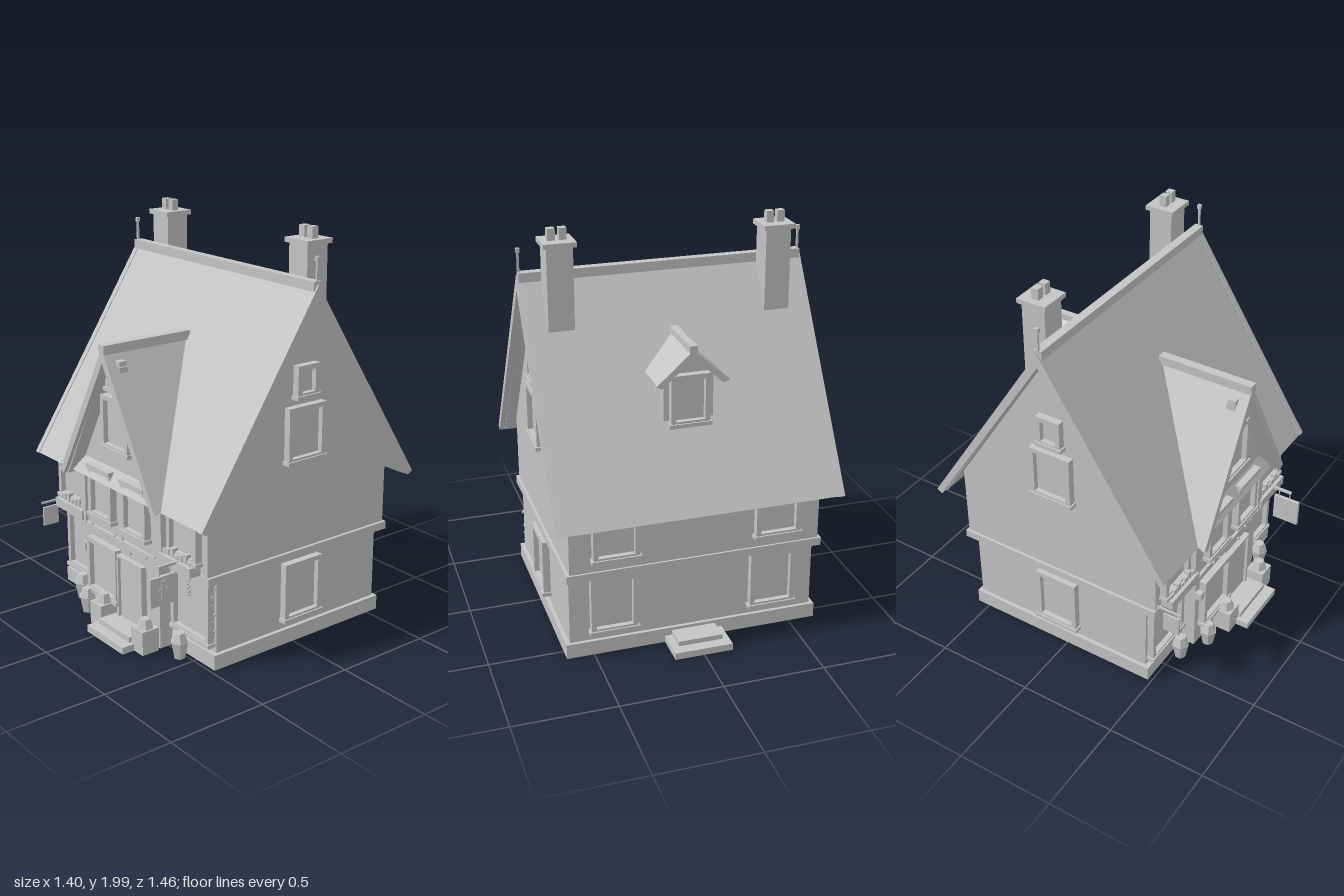
import * as THREE from 'three';

const stone = new THREE.MeshStandardMaterial({ color: 0xc4c4c4 });
stone.name = 'plain grey';

export function createModel() {
  const house = new THREE.Group();
  house.name = 'house';

  const add = (name, geo, parent = house) => {
    const m = new THREE.Mesh(geo, stone);
    m.name = name;
    parent.add(m);
    return m;
  };
  // Box from its extents on each axis
  const box = (name, x0, x1, y0, y1, z0, z1, parent = house) => {
    const m = add(name, new THREE.BoxGeometry(x1 - x0, y1 - y0, z1 - z0), parent);
    m.position.set((x0 + x1) / 2, (y0 + y1) / 2, (z0 + z1) / 2);
    return m;
  };
  const prism = (pts, a, b) => {
    const shape = new THREE.Shape(pts.map(p => new THREE.Vector2(p[0], p[1])));
    return new THREE.ExtrudeGeometry(shape, { depth: b - a, bevelEnabled: false }).translate(0, 0, a);
  };
  // Profile in (z, y) drawn out along x
  const prismX = (pts, a, b) => prism(pts, -b, -a).rotateY(-Math.PI / 2);
  // Inverted V section of a pitched roof
  const chevron = (c, half, eave, apex, t) => [
    [c - half, eave], [c - half + 0.03, eave - 0.015], [c, apex - t],
    [c + half - 0.03, eave - 0.015], [c + half, eave], [c, apex],
  ];

  // Window or door frame; origin at its centre on the wall, facing local +z
  const makeWindow = (name, x, y, z, w, h, rot = 0, sill = true) => {
    const g = new THREE.Group();
    g.name = name;
    const a = w / 2, b = h / 2, f = 0.024, d = 0.036;
    box('leftJamb', -a, -a + f, -b, b, -0.01, d, g);
    box('rightJamb', a - f, a, -b, b, -0.01, d, g);
    box('lintel', -a + f, a - f, b - f, b, -0.01, d, g);
    box('bottomRail', -a + f, a - f, -b, -b + f, -0.01, d, g);
    box('pane', -a + f, a - f, -b + f, b - f, -0.01, 0.01, g);
    if (sill) box('sill', -a - 0.008, a + 0.008, -b - 0.005, -b + 0.014, -0.01, d + 0.008, g);
    g.position.set(x, y, z);
    g.rotation.y = rot;
    house.add(g);
  };

  // Walls
  box('plinth', -0.635, 0.635, 0.01, 0.085, -0.567, 0.48);
  box('groundFloor', -0.615, 0.615, 0.085, 0.45, -0.55, 0.455);
  box('floorBand', -0.635, 0.635, 0.44, 0.48, -0.61, 0.515);
  add('upperWalls', prismX([[-0.6, 0.47], [0.51, 0.47], [0.51, 0.846], [-0.055, 1.73], [-0.6, 0.877]], -0.62, 0.62));
  box('groundBay', -0.305, 0.305, 0.01, 0.46, 0.4, 0.55);
  box('upperBay', -0.335, 0.335, 0.46, 0.78, 0.4, 0.55);
  box('bayBand', -0.345, 0.345, 0.445, 0.475, 0.4, 0.565);
  add('frontGableWall', prism([[-0.375, 0.745], [0.375, 0.745], [0, 1.4]], 0.45, 0.55));

  // Main roof with raised bargeboards and ridge
  add('mainRoof', prismX(chevron(-0.055, 0.655, 0.745, 1.76, 0.06), -0.67, 0.67));
  for (const s of [-1, 1]) {
    const ends = [s * 0.67, s * 0.7].sort((p, q) => p - q);
    add('bargeboard', prismX(chevron(-0.055, 0.66, 0.745, 1.766, 0.072), ...ends));
    // Ridge finial
    box('finialRod', s * 0.688 - 0.005, s * 0.688 + 0.005, 1.75, 1.88, -0.058, -0.048);
    box('finialTip', s * 0.688 - 0.009, s * 0.688 + 0.009, 1.872, 1.893, -0.062, -0.044);
    // Chimney
    const cx = s * 0.527;
    box('chimneyShaft', cx - 0.062, cx + 0.062, 1.4, 1.925, -0.205, -0.083);
    box('chimneyCap', cx - 0.078, cx + 0.078, 1.922, 1.945, -0.22, -0.068);
    for (const o of [-0.027, 0.027])
      box('chimneyPot', cx + o - 0.018, cx + o + 0.018, 1.94, 2, -0.162, -0.126);
  }
  box('ridgeCap', -0.692, 0.692, 1.735, 1.78, -0.077, -0.033);

  // Front gable roof
  add('frontGableRoof', prism(chevron(0, 0.39, 0.745, 1.44, 0.06), 0.12, 0.62));
  add('frontBargeboard', prism(chevron(0, 0.4, 0.745, 1.447, 0.075), 0.62, 0.642));
  box('frontGableRidge', -0.022, 0.022, 1.415, 1.46, 0.15, 0.645);
  box('gableTieBeam', -0.068, 0.068, 1.36, 1.385, 0.55, 0.59);

  // Back dormer
  add('dormerWall', prism([[-0.12, 1.05], [0.12, 1.05], [0.12, 1.36], [0, 1.46], [-0.12, 1.36]], -0.46, -0.2));
  add('dormerRoof', prism(chevron(0, 0.17, 1.335, 1.487, 0.03), -0.515, -0.22));
  add('dormerBargeboard', prism(chevron(0, 0.177, 1.332, 1.49, 0.036), -0.527, -0.51));
  box('dormerRidge', -0.018, 0.018, 1.478, 1.51, -0.528, -0.23);
  makeWindow('dormerWindow', 0, 1.235, -0.46, 0.19, 0.25, Math.PI);

  // Front windows and door
  makeWindow('gableWindow', 0, 1.06, 0.55, 0.22, 0.265);
  makeWindow('atticWindow', 0, 1.29, 0.55, 0.125, 0.13);
  for (const s of [-1, 1]) {
    makeWindow('bayUpperWindow', s * 0.142, 0.67, 0.55, 0.196, 0.26);
    box('bayWindowHead', s * 0.142 - 0.098, s * 0.142 + 0.098, 0.79, 0.81, 0.54, 0.596);
    makeWindow('sideUpperWindow', s * 0.467, 0.67, 0.51, 0.225, 0.28);
    makeWindow('shopWindow', s * 0.455, 0.275, 0.455, 0.29, 0.315);
    box('bayPost', s * 0.32 - 0.02, s * 0.32 + 0.02, 0.475, 0.75, 0.5, 0.565);
    // Window box with flowers
    const wx = s * 0.445;
    box('windowBox', wx - 0.125, wx + 0.125, 0.477, 0.525, 0.51, 0.575);
    for (let i = 0; i < 7; i++) {
      const fx = wx - 0.1 + i * 0.033, t = 0.545 + (i % 3) * 0.012;
      box('flower', fx - 0.013, fx + 0.013, 0.52, t, 0.53, 0.558);
    }
  }
  makeWindow('bayGroundWindow', -0.14, 0.27, 0.55, 0.255, 0.285);
  box('door', 0, 0.185, 0.06, 0.385, 0.54, 0.565);
  for (const x of [-0.012, 0.185]) box('doorJamb', x, x + 0.012, 0.06, 0.397, 0.54, 0.58);
  box('doorHead', 0, 0.185, 0.385, 0.397, 0.54, 0.58);
  box('lantern', -0.31, -0.28, 0.33, 0.37, 0.55, 0.585);

  // Side and back windows
  for (const s of [-1, 1]) {
    const r = s * Math.PI / 2;
    makeWindow('sideGroundWindow', s * 0.615, 0.28, -0.05, 0.23, 0.295, r);
    makeWindow('sideGableWindow', s * 0.62, 1.065, -0.05, 0.225, 0.27, r);
    makeWindow('sideAtticWindow', s * 0.62, 1.315, -0.05, 0.13, 0.155, r);
    makeWindow('backGroundWindow', s * 0.4, 0.28, -0.55, 0.23, 0.295, Math.PI);
    makeWindow('backUpperWindow', s * 0.4, 0.685, -0.6, 0.225, 0.29, Math.PI);
  }

  // Steps
  box('frontLowerStep', -0.062, 0.244, 0.01, 0.045, 0.5, 0.727);
  box('frontUpperStep', -0.04, 0.22, 0.045, 0.072, 0.5, 0.672);
  box('backLowerStep', -0.145, 0.145, 0.01, 0.045, -0.73, -0.55);
  box('backUpperStep', -0.11, 0.11, 0.045, 0.07, -0.675, -0.55);

  // Planters beside the door and tapered pots along the front
  const bush = (x, y, z) => {
    const b = add('bush', new THREE.CylinderGeometry(0.026, 0.043, 0.045, 6).toNonIndexed());
    b.geometry.computeVertexNormals();
    b.position.set(x, y, z);
  };
  for (const x of [-0.087, 0.268]) {
    box('planter', x - 0.047, x + 0.047, 0.01, 0.13, 0.565, 0.66);
    bush(x, 0.152, 0.612);
  }
  for (const x of [-0.405, -0.25, 0.43]) {
    const z = x === -0.25 ? 0.6 : 0.53;
    const pot = add('pot', new THREE.CylinderGeometry(0.045, 0.028, 0.085, 6).toNonIndexed());
    pot.geometry.computeVertexNormals();
    pot.position.set(x, 0.053, z);
    bush(x, 0.117, z);
  }

  // Hanging sign with a raised cross
  box('signArm', 0.459, 0.471, 0.515, 0.528, 0.5, 0.675);
  for (const z of [0.605, 0.665]) box('signHanger', 0.463, 0.467, 0.47, 0.52, z, z + 0.005);
  box('signBoard', 0.456, 0.474, 0.335, 0.477, 0.583, 0.722);
  box('signCrossUpright', 0.452, 0.478, 0.365, 0.458, 0.643, 0.661);
  box('signCrossBar', 0.452, 0.478, 0.402, 0.42, 0.626, 0.678);
  // Smaller sign at the other end
  box('smallSignArm', -0.606, -0.597, 0.49, 0.5, 0.5, 0.638);
  box('smallSignBoard', -0.607, -0.596, 0.37, 0.47, 0.545, 0.632);

  // Ivy leaves up the corners and along the jetty
  let seed = 7;
  const rnd = () => (seed = (seed * 16807) % 2147483647) / 2147483647;
  const leafGeo = new THREE.OctahedronGeometry(0.012).scale(0.7, 1, 0.5);
  const leaf = (x, y, z) => {
    const m = add('ivyLeaf', leafGeo);
    m.position.set(x, y, z);
    m.rotation.set(rnd() * 2, rnd() * 3, rnd() * 3);
  };
  for (let i = 0; i < 10; i++) {
    const y = 0.03 + i * 0.042;
    leaf(-0.61 + rnd() * 0.02, y, 0.465);
    leaf(0.6 + rnd() * 0.02, y, 0.465);
    leaf(-0.3 + i * 0.066, 0.43 + rnd() * 0.06, 0.568);
    leaf(0.455 + rnd() * 0.02, 0.34 + i * 0.018, 0.5);
  }
  return house;
}
